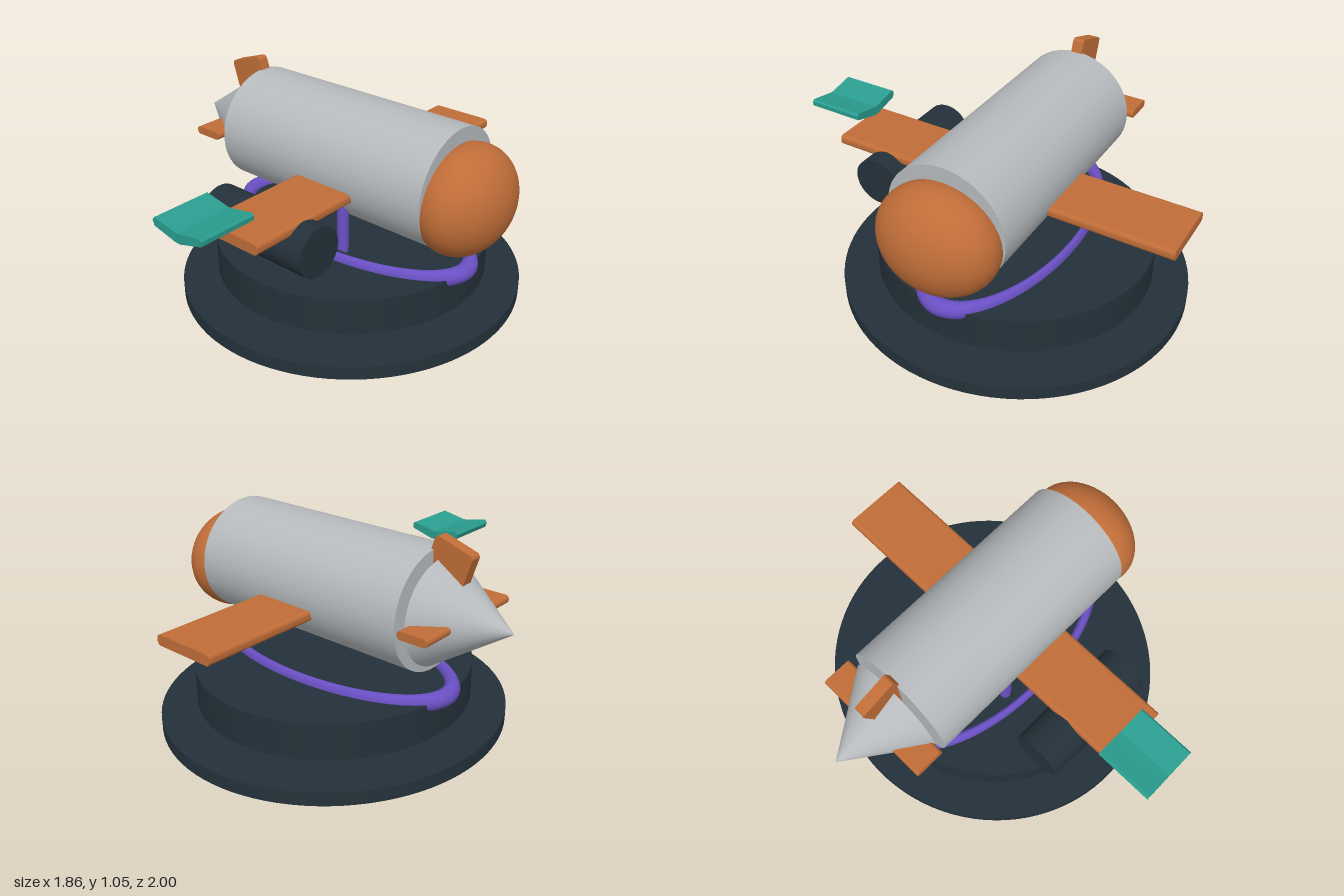
import * as THREE from 'three';

const CZ = -0.115; // z of the model's main axis
const STRETCH = 1.03; // round parts are slightly deeper than wide

export function createModel() {
  const group = new THREE.Group();
  const mat = (name, color) => {
    const m = new THREE.MeshStandardMaterial({ color });
    m.name = name;
    return m;
  };
  const grey = mat('hull grey', 0xb6babd);
  const orange = mat('burnt orange', 0xc06d38);
  const dark = mat('dark slate', 0x24313a);
  const purple = mat('purple', 0x6a50c4);
  const teal = mat('teal', 0x2a9d8f);

  const add = (name, geometry, material, x, y, z) => {
    const mesh = new THREE.Mesh(geometry, material);
    mesh.name = name;
    mesh.position.set(x, y, z);
    group.add(mesh);
    return mesh;
  };

  // Upright disc spanning y0..y1
  const disc = (name, r, y0, y1) =>
    add(name, new THREE.CylinderGeometry(r, r, y1 - y0, 96).scale(1, 1, STRETCH),
      dark, 0.07, (y0 + y1) / 2, CZ);

  // Cylinder or cone lying along x, from x0 (radius r0) to x1 (radius r1)
  const lying = (name, r0, r1, x0, x1, y, z, material) =>
    add(name, new THREE.CylinderGeometry(r0, r1, x1 - x0, 64).rotateZ(Math.PI / 2).scale(1, 1, STRETCH),
      material, (x0 + x1) / 2, y, z);

  // Plate with a rounded outline in xy, extruded along z
  const plate = (name, w, h, r, depth, x, y, z) => {
    const a = w / 2 - r, b = h / 2 - r;
    const s = new THREE.Shape();
    s.absarc(a, b, r, 0, Math.PI / 2);
    s.absarc(-a, b, r, Math.PI / 2, Math.PI);
    s.absarc(-a, -b, r, Math.PI, Math.PI * 1.5);
    s.absarc(a, -b, r, Math.PI * 1.5, Math.PI * 2);
    const g = new THREE.ExtrudeGeometry(s, { depth, bevelEnabled: false, curveSegments: 5 });
    return add(name, g.translate(0, 0, -depth / 2), orange, x, y, z);
  };

  // Stand
  disc('basePlate', 0.85, 0, 0.067);
  disc('baseDrum', 0.675, 0.11, 0.293);
  add('standRing', new THREE.TorusGeometry(0.675, 0.0425, 20, 96).rotateX(Math.PI / 2).scale(1, 1, 0.474),
    purple, 0.07, 0.2875, CZ);

  // Struts with the wheels sunk in the drum
  for (const x of [-0.064, 0.2]) {
    add('strut', new THREE.CylinderGeometry(0.029, 0.029, 0.45, 24), purple, x, 0.325, 0.115);
    add('wheel', new THREE.TorusGeometry(0.09, 0.031, 16, 40).rotateY(Math.PI / 2), dark, x, 0.19, 0.112);
  }

  // Fuselage
  lying('fuselage', 0.288, 0.288, -0.53, 0.67, 0.697, CZ, grey);
  lying('tailCone', 0, 0.25, -0.93, -0.555, 0.693, CZ, grey);
  group.getObjectByName('tailCone').scale.x = 1;
  add('nose', new THREE.SphereGeometry(1, 48, 32).scale(0.208, 0.26, 0.293), orange, 0.722, 0.66, CZ);

  // Wing and tail surfaces
  plate('wing', 0.335, 0.052, 0.02, 1.77, 0.122, 0.62, CZ);
  plate('tailplane', 0.155, 0.04, 0.018, 0.625, -0.637, 0.694, -0.118);
  const fin = plate('tailFin', 0.2, 0.37, 0.02, 0.057, -0.578, 0.845, -0.117);
  fin.rotation.z = THREE.MathUtils.degToRad(18);

  // Side pod
  lying('sidePod', 0.121, 0.121, -0.24, 0.377, 0.518, 0.486, dark);

  // Bent propeller blade floating in front of the pod
  const blade = new THREE.Shape([
    [-0.079, 0.733], [-0.067, 0.749], [0.04, 0.728], [0.072, 0.723], [0.1, 0.728],
    [0.207, 0.748], [0.217, 0.738], [0.216, 0.716], [0.107, 0.684], [0.09, 0.679],
    [0.05, 0.679], [0.037, 0.684], [-0.07, 0.708],
  ].map(([x, y]) => new THREE.Vector2(x, y)));
  add('bentBlade', new THREE.ExtrudeGeometry(blade, { depth: 0.29, bevelEnabled: false }), teal, 0, 0, 0.71);

  return group;
}
